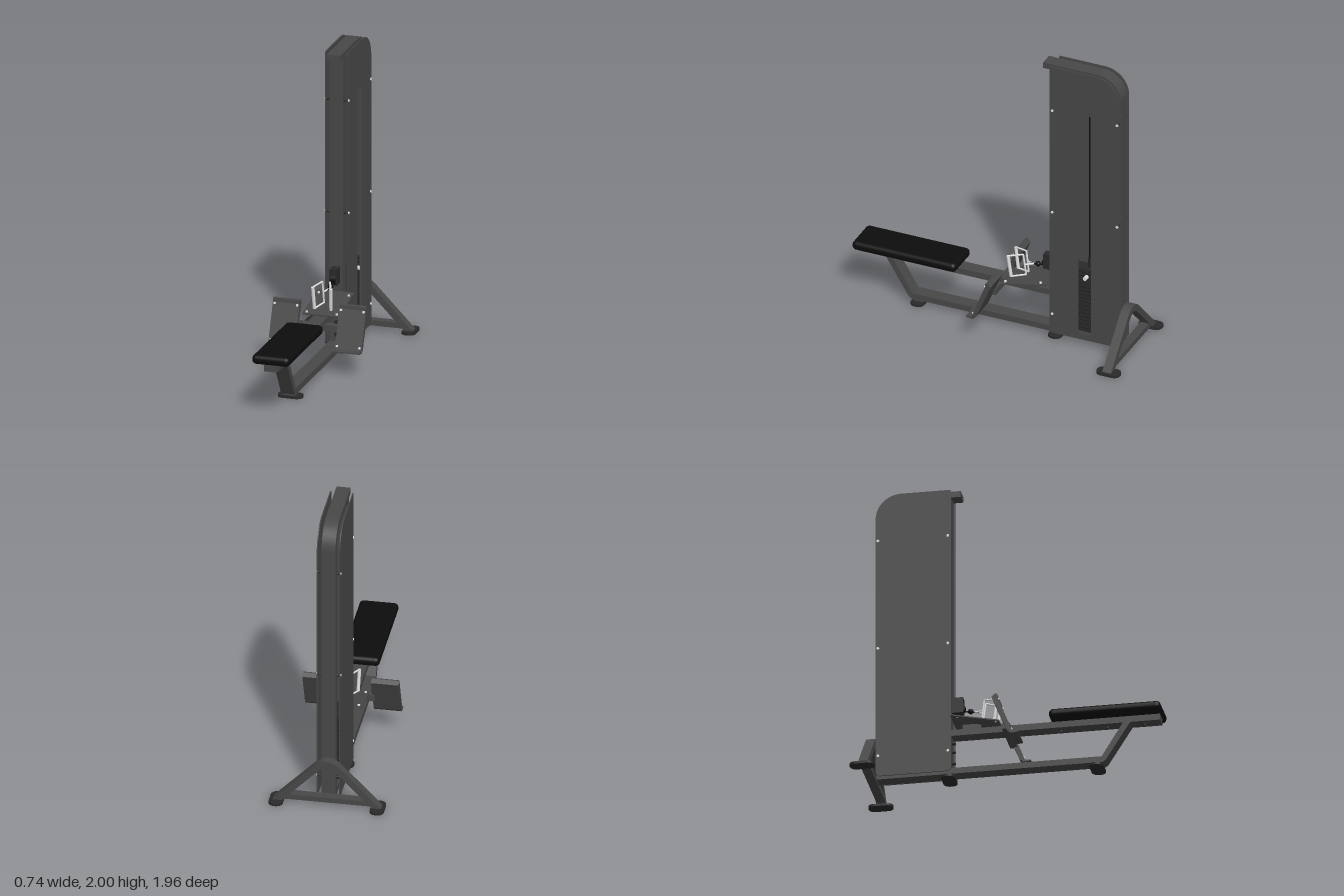
import * as THREE from 'three';
import { RoundedBoxGeometry } from 'three/addons/geometries/RoundedBoxGeometry.js';

const mat = (name, color) => {
  const m = new THREE.MeshStandardMaterial({ color });
  m.name = name;
  return m;
};

export function createModel() {
  const root = new THREE.Group();
  root.name = 'seatedRowMachine';
  const steel = mat('darkGreySteel', 0x484848);
  const black = mat('blackVinyl', 0x0d0d0d);
  const dark = mat('darkIron', 0x2a2a2a);
  const chrome = mat('chrome', 0xe0e0e0);

  const add = (name, geo, m, x = 0, y = 0, z = 0) => {
    const mesh = new THREE.Mesh(geo, m);
    mesh.name = name;
    mesh.position.set(x, y, z);
    root.add(mesh);
    return mesh;
  };
  const box = (name, w, h, d, m, x, y, z) => add(name, new THREE.BoxGeometry(w, h, d), m, x, y, z);
  // Cylinder running between two points
  const rod = (name, a, b, r, m, sides = 10) => {
    const p = new THREE.Vector3(...a), q = new THREE.Vector3(...b);
    const mesh = add(name, new THREE.CylinderGeometry(r, r, p.distanceTo(q), sides), m);
    mesh.position.copy(p).add(q).multiplyScalar(0.5);
    mesh.quaternion.setFromUnitVectors(new THREE.Vector3(0, 1, 0), q.sub(p).normalize());
    return mesh;
  };
  // Outline drawn in (z, y), extruded across x
  const sideExtrude = (shape, width) => {
    const g = new THREE.ExtrudeGeometry(shape, { depth: width, bevelEnabled: false, curveSegments: 12 });
    return g.translate(0, 0, -width / 2).rotateY(-Math.PI / 2);
  };
  const poly = pts => new THREE.Shape(pts.map(p => new THREE.Vector2(...p)));
  // Rounded outline with its own radius at each corner: bl, br, tr, tl
  const rounded = (T, x0, y0, x1, y1, [bl, br, tr, tl]) => {
    const s = new T();
    s.moveTo(x0 + bl, y0).lineTo(x1 - br, y0);
    s.absarc(x1 - br, y0 + br, br, -Math.PI / 2, 0);
    s.lineTo(x1, y1 - tr).absarc(x1 - tr, y1 - tr, tr, 0, Math.PI / 2);
    s.lineTo(x0 + tl, y1).absarc(x0 + tl, y1 - tl, tl, Math.PI / 2, Math.PI);
    s.lineTo(x0, y0 + bl).absarc(x0 + bl, y0 + bl, bl, Math.PI, Math.PI * 1.5);
    return s;
  };

  // Tower frame: tube loop with a rounded upper back corner
  const frame = rounded(THREE.Shape, -0.86, 0.03, -0.38, 2, [0.01, 0.01, 0.01, 0.165]);
  frame.holes.push(rounded(THREE.Path, -0.81, 0.075, -0.44, 1.955, [0.01, 0.01, 0.01, 0.12]));
  add('towerFrame', sideExtrude(frame, 0.09), steel);
  box('topBeamEnd', 0.09, 0.04, 0.07, steel, 0, 1.98, -0.353);

  // Side covers; the left one has the weight slot
  for (const s of [-1, 1]) {
    const cover = rounded(THREE.Shape, -0.86, 0.04, -0.375, 2, [0.03, 0.03, 0.01, 0.165]);
    if (s > 0) cover.holes.push(rounded(THREE.Path, -0.665, 0.08, -0.575, 1.7, [0.02, 0.02, 0.02, 0.02]));
    add('sideCover', sideExtrude(cover, 0.007), steel, s * 0.072);
    for (const y of [0.18, 0.93, 1.68]) for (const z of [-0.395, -0.845]) {
      rod('coverSpacer', [s * 0.04, y, z], [s * 0.07, y, z], 0.009, dark);
      rod('coverBolt', [s * 0.07, y, z], [s * 0.081, y, z], 0.009, chrome);
    }
  }

  // Weight stack, guide rod and selector pin
  for (let i = 0; i < 17; i++) {
    box('weightPlate', 0.088, 0.022, 0.2, dark, 0, 0.093 + i * 0.0272, -0.62);
  }
  box('stackCore', 0.08, 0.45, 0.19, black, 0, 0.305, -0.62);
  rod('stackStem', [0, 0.54, -0.62], [0, 0.61, -0.62], 0.01, dark);
  rod('liftCable', [0, 0.6, -0.62], [0, 1.96, -0.62], 0.005, black);
  rod('selectorPin', [0.03, 0.49, -0.62], [0.075, 0.49, -0.62], 0.014, chrome, 14);

  // Base beam with sloping seat strut, and the seat rail
  add('baseBeam', sideExtrude(poly([
    [-0.86, 0.03], [0.595, 0.03], [0.615, 0.042], [0.775, 0.297], [0.728, 0.297],
    [0.59, 0.07], [-0.86, 0.07],
  ]), 0.09), steel);
  box('seatRail', 0.09, 0.042, 1.345, steel, 0, 0.315, 0.293);
  for (const z of [0.86, 0.62, 0.32]) {
    rod('seatBolt', [0, 0.28, z], [0, 0.3, z], 0.008, dark);
  }
  add('seatPad', new RoundedBoxGeometry(0.25, 0.062, 0.72, 4, 0.028), black, 0, 0.367, 0.62);

  // Flat feet with rounded ends
  const foot = (x, z, w, d) => {
    const r = Math.min(w, d) * 0.45;
    const s = rounded(THREE.Shape, -w / 2, -d / 2, w / 2, d / 2, [r, r, r, r]);
    const g = new THREE.ExtrudeGeometry(s, { depth: 0.016, bevelEnabled: false });
    add('foot', g.rotateX(-Math.PI / 2), dark, x, 0, z);
  };
  for (const z of [0.555, -0.4]) {
    foot(0, z, 0.165, 0.09);
    box('footStem', 0.08, 0.02, 0.06, steel, 0, 0.022, z);
  }
  for (const s of [-1, 1]) foot(s * 0.325, -0.9, 0.09, 0.16);

  // Rear stabiliser: bent tube arch with a cross bar
  const arch = new THREE.Shape();
  arch.moveTo(-0.35, 0.014).lineTo(-0.08, 0.29);
  arch.quadraticCurveTo(0, 0.365, 0.08, 0.29);
  arch.lineTo(0.35, 0.014).lineTo(0.29, 0.014).lineTo(0.06, 0.25);
  arch.quadraticCurveTo(0, 0.31, -0.06, 0.25);
  arch.lineTo(-0.29, 0.014).closePath();
  add('rearArch', new THREE.ExtrudeGeometry(arch, { depth: 0.06, bevelEnabled: false }), steel, 0, 0, -0.925);
  box('rearCrossBar', 0.58, 0.035, 0.058, steel, 0, 0.045, -0.894);

  // Foot plates: bent sheets on a cross tube
  box('footPlateTube', 0.3, 0.042, 0.045, steel, 0, 0.287, -0.012);
  const pan = poly([
    [-0.035, 0.438], [-0.05, 0.442], [-0.072, 0.42], [0.03, 0.178], [0.052, 0.158],
    [0.1, 0.163], [0.1, 0.17], [0.062, 0.172], [-0.032, 0.415],
  ]);
  for (const s of [-1, 1]) {
    add('footPlate', sideExtrude(pan, 0.178), steel, s * 0.221);
    for (const dx of [-0.075, 0.075]) for (const [y, z] of [[0.405, -0.028], [0.19, 0.055]]) {
      rod('footPlateBolt', [s * 0.221 + dx, y, z - 0.006], [s * 0.221 + dx, y + 0.003, z + 0.006], 0.008, chrome);
    }
  }

  // Sloping handle rest
  const rest = box('handleRest', 0.245, 0.008, 0.32, steel, 0, 0.374, -0.215);
  rest.rotation.x = 0.2;
  box('restBracket', 0.06, 0.045, 0.12, steel, 0, 0.35, -0.25);
  for (const x of [-0.1, 0.1]) for (const [y, z] of [[0.352, -0.08], [0.402, -0.325]]) {
    rod('restBolt', [x, y - 0.01, z], [x, y + 0.006, z], 0.009, chrome);
  }

  // Pulley housing, cable and stop ball
  box('pulleyHousing', 0.05, 0.105, 0.075, dark, 0, 0.517, -0.345);
  rod('pulleyWheel', [-0.018, 0.5, -0.33], [0.018, 0.5, -0.33], 0.035, black, 18);
  rod('rowCable', [0, 0.485, -0.34], [0, 0.465, -0.21], 0.005, black);
  add('cableBall', new THREE.SphereGeometry(0.018, 14, 10), black, 0, 0.475, -0.262);
  for (const y of [0.12, 0.2, 0.26]) {
    rod('postBolt', [0, y, -0.385], [0, y, -0.36], 0.012, dark);
  }

  // Pair of stirrup handles
  for (const s of [-1, 1]) {
    const pts = [[0.06, 0.52, -0.08], [0.025, 0.533, -0.17], [0.02, 0.388, -0.188], [0.055, 0.372, -0.1]]
      .map(([x, y, z]) => [s * x, y, z]);
    pts.forEach((p, i) => {
      const grip = i === 3;
      rod(grip ? 'handleGrip' : 'handleBar', p, pts[(i + 1) % 4], grip ? 0.011 : 0.006, chrome);
    });
    rod('handleLink', [s * 0.022, 0.46, -0.179], [0, 0.468, -0.235], 0.006, chrome);
  }

  return root;
}
